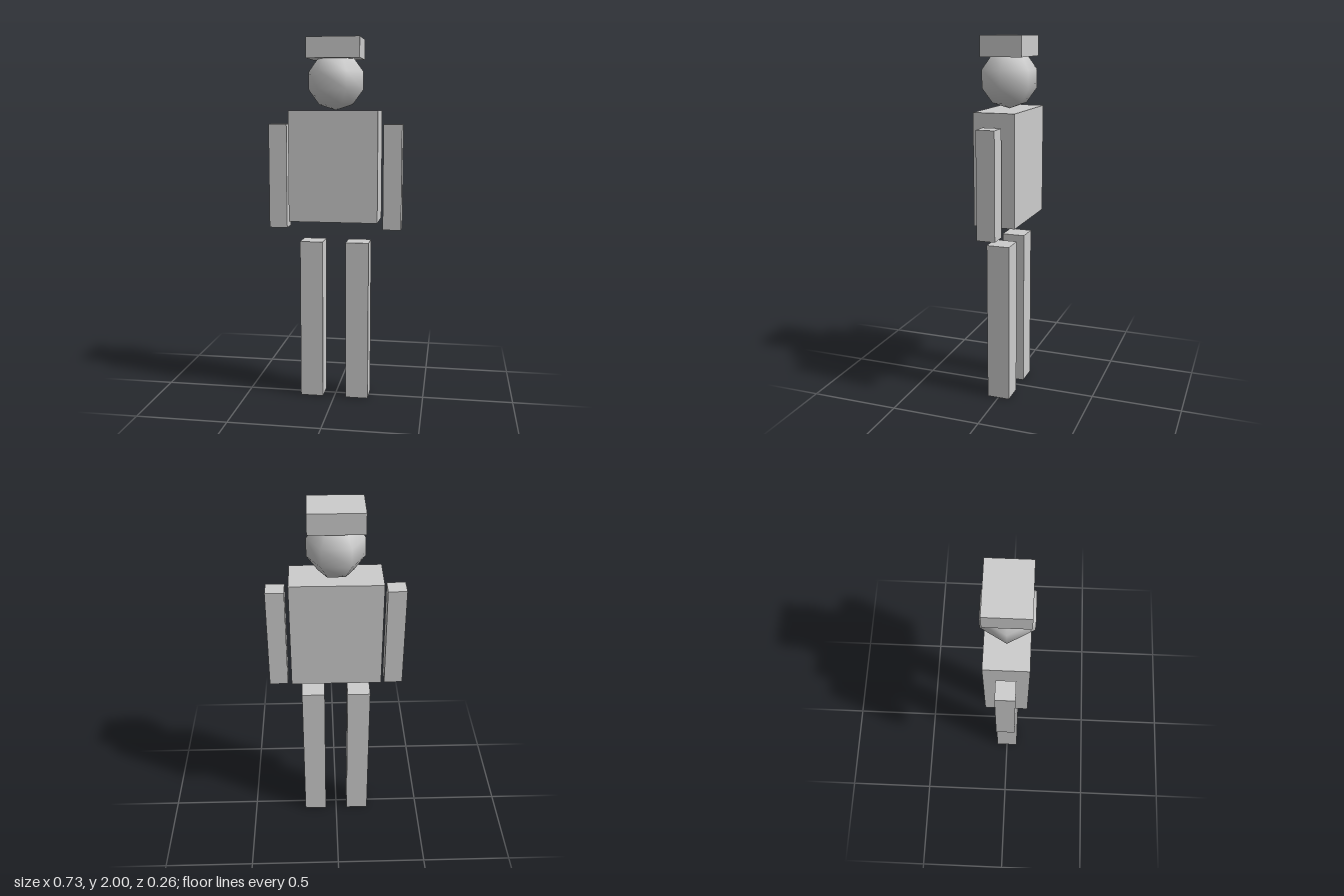
import * as THREE from 'three';

export function createModel() {
  const model = new THREE.Group();
  model.name = 'blockFigure';

  const grey = new THREE.MeshStandardMaterial({ color: 0xcccccc });
  grey.name = 'light grey';

  // Box centred on z = 0, standing between two heights
  function addBox(name, x, bottom, top, width, depth) {
    const mesh = new THREE.Mesh(new THREE.BoxGeometry(width, top - bottom, depth), grey);
    mesh.name = name;
    mesh.position.set(x, (bottom + top) / 2, 0);
    model.add(mesh);
  }

  addBox('torso', 0, 1.012, 1.614, 0.486, 0.228);
  addBox('hat', 0, 1.89, 2, 0.288, 0.228);

  // Mirrored limbs
  for (const [side, s] of [['left', 1], ['right', -1]]) {
    addBox(side + 'Arm', s * 0.317, 0.967, 1.541, 0.1, 0.1);
    addBox(side + 'Leg', s * 0.128, 0, 0.893, 0.127, 0.127);
  }

  // Smooth-shaded head with six sides
  const head = new THREE.Mesh(new THREE.SphereGeometry(0.158, 6, 5), grey);
  head.name = 'head';
  head.position.y = 1.774;
  model.add(head);

  return model;
}
